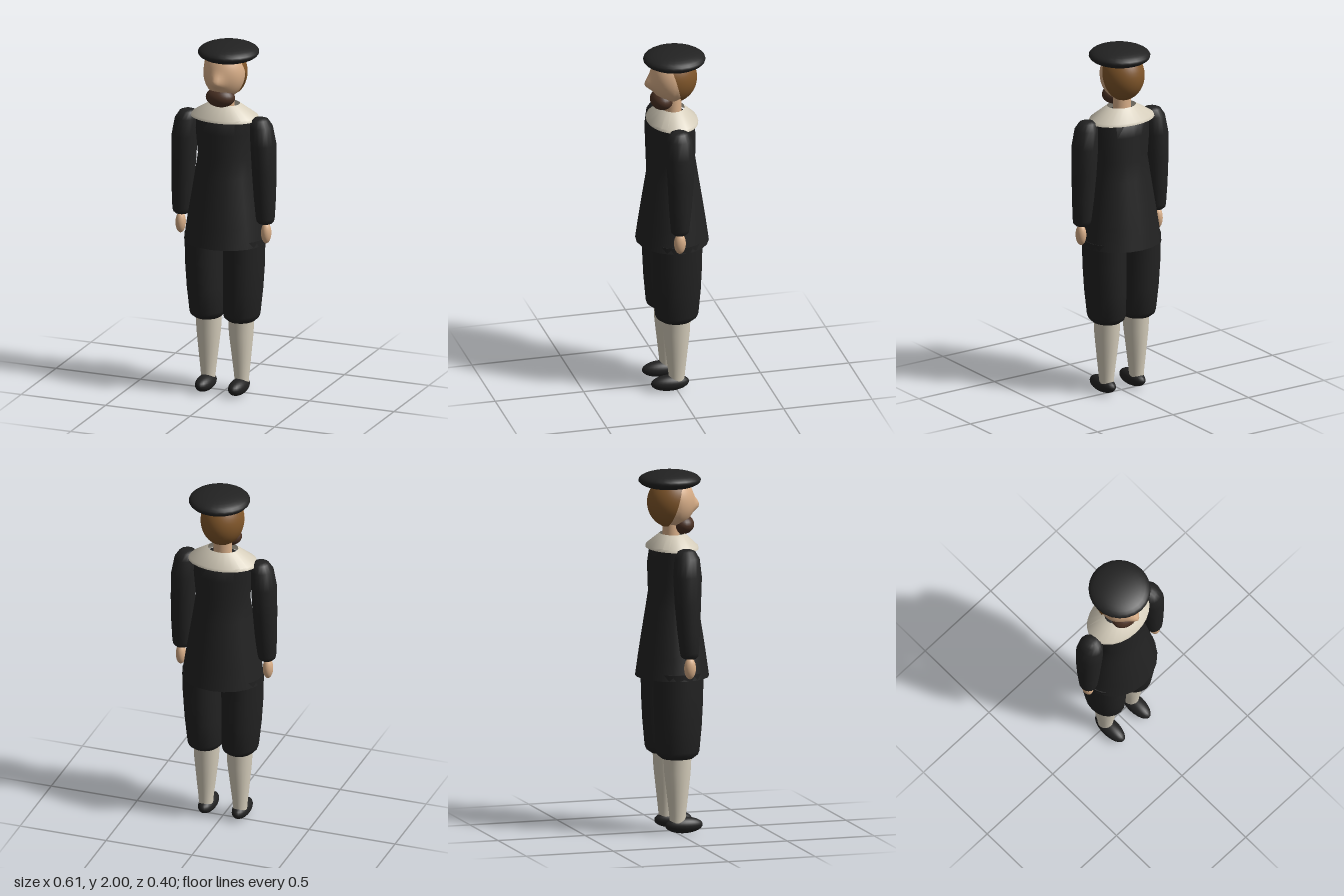
import * as THREE from 'three';
import { toCreasedNormals } from 'three/addons/utils/BufferGeometryUtils.js';

const mat = (name, color, side = THREE.FrontSide) => {
  const m = new THREE.MeshStandardMaterial({ color, side });
  m.name = name;
  return m;
};

// Skin a stack of elliptical rings, top to bottom: [y, rx, rz, cx, cz]
function loft(rings, sides = 20, open = false, crease = 0.7) {
  const n = rings.length - 1;
  const geo = new THREE.CylinderGeometry(1, 1, n, sides, n, open);
  const p = geo.attributes.position;
  for (let i = 0; i < p.count; i++) {
    const [y, rx, rz, cx = 0, cz = 0] = rings[Math.round(n / 2 - p.getY(i))];
    p.setXYZ(i, p.getX(i) * rx + cx, y, p.getZ(i) * rz + cz);
  }
  return toCreasedNormals(geo, crease);
}

export function createModel() {
  const model = new THREE.Group();
  model.name = 'figure';
  const black = mat('black cloth', 0x222222);
  const cream = mat('cream linen', 0xd6cebc, THREE.DoubleSide);
  const skin = mat('skin', 0xd8ae88);
  const hairBrown = mat('hair brown', 0x80562a, THREE.DoubleSide);
  const beardBrown = mat('beard brown', 0x4a3124);

  const add = (name, geo, material) => {
    const mesh = new THREE.Mesh(geo, material);
    mesh.name = name;
    model.add(mesh);
    return mesh;
  };
  const ellipsoid = (name, material, r, c) => {
    const mesh = add(name, new THREE.SphereGeometry(1, 24, 16), material);
    mesh.scale.set(...r);
    mesh.position.set(...c);
    return mesh;
  };

  // Flared coat, closed underneath
  add('coat', loft([
    [1.63, 0.07, 0.05], [1.6, 0.13, 0.09], [1.575, 0.165, 0.115], [1.5, 0.165, 0.126],
    [1.36, 0.152, 0.125], [1.25, 0.168, 0.142], [1.1, 0.192, 0.166], [0.98, 0.212, 0.184],
    [0.865, 0.228, 0.2],
  ]), black);

  // Wide open collar
  add('collar', loft([
    [1.655, 0.085, 0.067], [1.59, 0.19, 0.137], [1.575, 0.197, 0.14],
  ], 24, true), cream);

  // Paired limbs
  for (const s of [-1, 1]) {
    const side = s > 0 ? 'left' : 'right';
    add(side + 'Sleeve', loft([
      [1.597, 0.025, 0.025, s * 0.212, 0.015], [1.588, 0.045, 0.048, s * 0.214, 0.015],
      [1.55, 0.062, 0.07, s * 0.222, 0.015], [1.45, 0.07, 0.08, s * 0.233, 0.014],
      [1.3, 0.067, 0.073, s * 0.238, 0.014], [1.15, 0.061, 0.063, s * 0.243, 0.017],
      [1.03, 0.052, 0.052, s * 0.247, 0.02], [1.01, 0.048, 0.048, s * 0.247, 0.021],
      [0.998, 0.036, 0.036, s * 0.247, 0.021],
    ], 16, false, 1), black);
    ellipsoid(side + 'Hand', skin, [0.028, 0.06, 0.033], [s * 0.253, 0.943, 0.022]);
    add(side + 'Breeches', loft([
      [0.9, 0.114, 0.14, s * 0.113], [0.75, 0.113, 0.138, s * 0.112],
      [0.6, 0.108, 0.132, s * 0.107], [0.46, 0.1, 0.121, s * 0.1],
      [0.44, 0.095, 0.113, s * 0.1], [0.42, 0.075, 0.085, s * 0.1],
    ], 20, false, 1), black);
    add(side + 'Stocking', loft([
      [0.44, 0.072, 0.078, s * 0.096], [0.34, 0.067, 0.073, s * 0.096],
      [0.2, 0.052, 0.057, s * 0.098], [0.1, 0.041, 0.046, s * 0.099],
      [0.05, 0.038, 0.042, s * 0.099],
    ]), cream);
    ellipsoid(side + 'Shoe', black, [0.048, 0.045, 0.107], [s * 0.098, 0.045, 0.037]);
  }

  // Neck and head, with the nose drawn out of the face
  add('neck', loft([[1.76, 0.05, 0.045, 0, -0.005], [1.6, 0.052, 0.047, 0, -0.005]]), skin);
  const headGeo = new THREE.SphereGeometry(1, 40, 32);
  headGeo.scale(0.115, 0.142, 0.112).translate(0, 1.832, 0.01);
  const p = headGeo.attributes.position;
  for (let i = 0; i < p.count; i++) {
    if (p.getZ(i) < 0.03) continue;
    const x = p.getX(i) / 0.035, y = p.getY(i) - 1.8;
    const fall = Math.exp(-x * x - (y / (y > 0 ? 0.045 : 0.03)) ** 2);
    p.setZ(i, p.getZ(i) + 0.037 * fall);
  }
  add('head', toCreasedNormals(headGeo, 1.2), skin);

  // Hair shell over the back of the head, leaning forward at the crown
  const hair = add('hair', new THREE.SphereGeometry(1, 24, 20, Math.PI, Math.PI), hairBrown);
  hair.scale.set(0.122, 0.147, 0.14);
  hair.position.set(0, 1.832, 0.002);
  hair.rotation.x = 0.28;

  ellipsoid('beard', beardBrown, [0.083, 0.055, 0.063], [-0.003, 1.702, 0.058]);

  // Flat round cap
  ellipsoid('cap', black, [0.168, 0.052, 0.172], [0.018, 1.948, -0.008]);

  return model;
}
